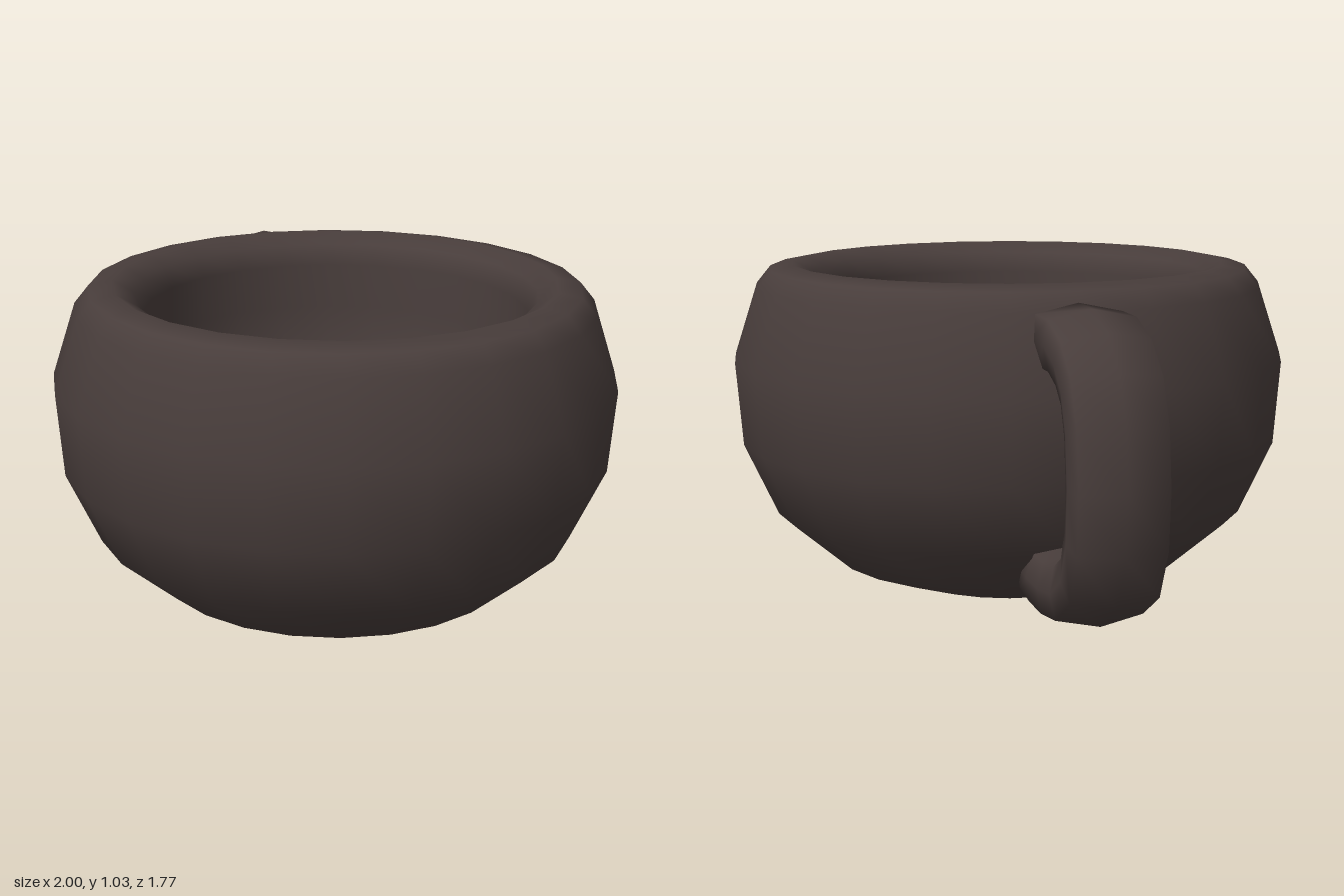
import * as THREE from 'three';

// Sweep an 8-sided section along a path lying in the local xy plane
function sweep(path, section) {
  const positions = [], index = [];
  const n = section.length, last = path.length - 1;
  path.forEach((p, i) => {
    const a = path[Math.max(i - 1, 0)], b = path[Math.min(i + 1, last)];
    const t = new THREE.Vector2(b[0] - a[0], b[1] - a[1]).normalize();
    for (const [u, w] of section) positions.push(p[0] - t.y * u, p[1] + t.x * u, w);
  });
  for (let i = 0; i < last; i++) {
    for (let j = 0; j < n; j++) {
      const k = (j + 1) % n;
      const a = i * n + j, b = i * n + k, c = a + n, d = b + n;
      index.push(a, b, c, b, d, c);
    }
  }
  // End caps
  for (let j = 1; j < n - 1; j++) {
    index.push(0, j + 1, j);
    index.push(last * n, last * n + j, last * n + j + 1);
  }
  const geometry = new THREE.BufferGeometry();
  geometry.setAttribute('position', new THREE.Float32BufferAttribute(positions, 3));
  geometry.setIndex(index);
  geometry.computeVertexNormals();
  return geometry;
}

export function createModel() {
  const model = new THREE.Group();
  model.name = 'cup';
  const clay = new THREE.MeshStandardMaterial({ color: 0x483d3b, side: THREE.DoubleSide });
  clay.name = 'dark brown clay';

  // Bowl: outer wall, rounded rim with a sloping lip, then the round hollow
  const profile = [
    [0, 0], [0.35, 0], [0.575, 0.08], [0.76, 0.24], [0.865, 0.47], [0.885, 0.73],
    [0.81, 0.96], [0.765, 1.015], [0.69, 1.03], [0.63, 0.995], [0.6, 0.93],
    [0.61, 0.78], [0.575, 0.59], [0.49, 0.4], [0.35, 0.25], [0.18, 0.17], [0, 0.14],
  ].map(([r, y]) => new THREE.Vector2(r, y));
  const bowl = new THREE.Mesh(new THREE.LatheGeometry(profile, 24), clay);
  bowl.name = 'bowl';
  bowl.position.x = 0.117;
  model.add(bowl);

  // Handle: a C-shaped loop, wider than it is thick, at the back right
  const path = [
    [0.79, 0.885], [0.91, 0.885], [1.01, 0.85], [1.085, 0.785], [1.13, 0.68], [1.148, 0.53],
    [1.137, 0.38], [1.085, 0.265], [0.98, 0.2], [0.85, 0.18], [0.73, 0.18], [0.63, 0.19],
  ];
  const section = [
    [0.1, 0], [0.073, 0.128], [0, 0.138], [-0.075, 0.12],
    [-0.1, 0], [-0.075, -0.12], [0, -0.138], [0.073, -0.128],
  ];
  const handle = new THREE.Mesh(sweep(path, section), clay);
  handle.name = 'handle';
  handle.position.x = 0.117;
  handle.rotation.y = THREE.MathUtils.degToRad(149);
  model.add(handle);

  return model;
}
